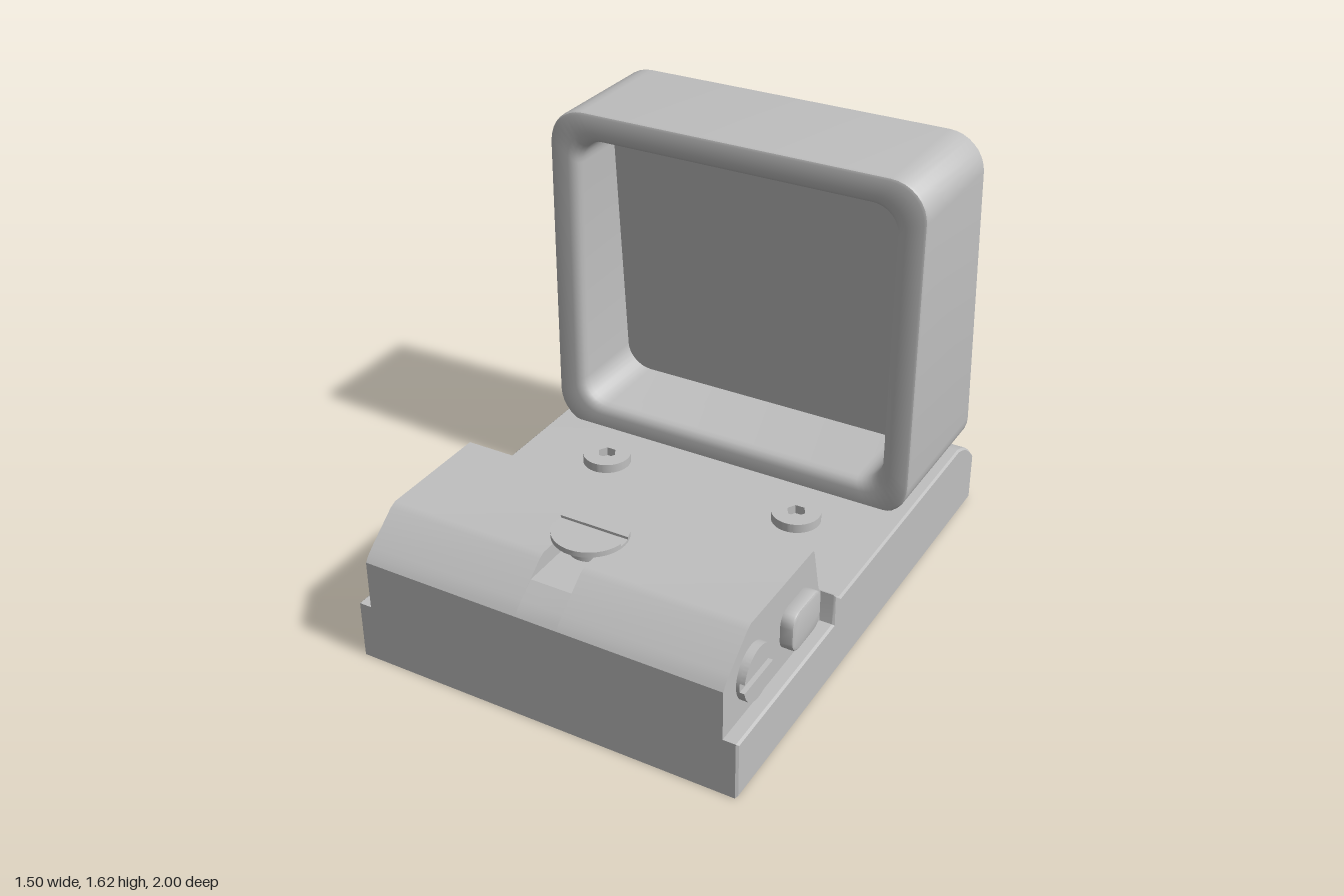
import * as THREE from 'three';
import { toCreasedNormals } from 'three/addons/utils/BufferGeometryUtils.js';

const grey = new THREE.MeshStandardMaterial({ color: 0xc0c0c0 });
grey.name = 'satin grey';

function add(parent, name, geometry, x = 0, y = 0, z = 0) {
  const mesh = new THREE.Mesh(toCreasedNormals(geometry, 0.6), grey);
  mesh.name = name;
  mesh.position.set(x, y, z);
  parent.add(mesh);
  return mesh;
}

// Side profile of [z, y] points, extruded across x from x0 to x1
function sideProfile(points, x0, x1, bevel = 0) {
  const shape = new THREE.Shape(points.map(([z, y]) => new THREE.Vector2(z, y)));
  const geo = new THREE.ExtrudeGeometry(shape, {
    depth: x1 - x0 - 2 * bevel, bevelEnabled: bevel > 0, bevelThickness: bevel,
    bevelSize: bevel, bevelOffset: -bevel, bevelSegments: 1,
  });
  return geo.rotateY(-Math.PI / 2).translate(x1 - bevel, 0, 0);
}

// Counter-clockwise rounded rectangle outline
function roundedRect(hw, bottom, top, r, segs = 8) {
  const pts = [];
  [[hw - r, bottom + r, -0.5], [hw - r, top - r, 0], [r - hw, top - r, 0.5], [r - hw, bottom + r, 1]]
    .forEach(([cx, cy, start]) => {
      for (let i = 0; i <= segs; i++) {
        const a = (start + 0.5 * i / segs) * Math.PI;
        pts.push(new THREE.Vector2(cx + r * Math.cos(a), cy + r * Math.sin(a)));
      }
    });
  return pts;
}

const hoodOutline = (inset) => roundedRect(0.75 - inset, 0.29 + inset, 1.625 - inset, 0.14 - 0.35 * inset);

// Window frame lofted through rings; the rear face leans forward towards the top
function hoodGeometry() {
  const backZ = (y) => -0.83 - (1.625 - y) * 0.07;
  const rings = [
    [0, 'back', 0.02], [0, 'front', 0.012], [0.004, 'front', 0.004], [0.012, 'front', 0],
    [0.075, 'front', 0], [0.095, 'front', 0.006], [0.109, 'front', 0.02], [0.115, 'front', 0.04],
    [0.115, 'back', 0.04], [0.109, 'back', 0.02], [0.095, 'back', 0.006], [0.075, 'back', 0],
    [0.02, 'back', 0], [0.006, 'back', 0.006],
  ];
  const positions = [], index = [];
  let n = 0;
  rings.forEach(([inset, end, dz]) => {
    const pts = hoodOutline(inset);
    n = pts.length;
    pts.forEach((p) => positions.push(p.x, p.y, end === 'front' ? -0.305 - dz : backZ(p.y) + dz));
  });
  for (let k = 0; k < rings.length; k++) {
    const k2 = (k + 1) % rings.length;
    for (let j = 0; j < n; j++) {
      const j2 = (j + 1) % n;
      const a = k * n + j, b = k * n + j2, c = k2 * n + j2, d = k2 * n + j;
      index.push(a, b, c, a, c, d);
    }
  }
  const geo = new THREE.BufferGeometry();
  geo.setAttribute('position', new THREE.Float32BufferAttribute(positions, 3));
  geo.setIndex(index);
  return geo;
}

// Screw head facing +z: a disc with two raised halves either side of a slot
function slottedScrew(name, r, height, slot) {
  const group = new THREE.Group();
  group.name = name;
  const disc = new THREE.CylinderGeometry(r, r, height * 0.5, 40);
  add(group, 'screwDisc', disc.rotateX(Math.PI / 2), 0, 0, height * 0.25);
  const a = Math.asin(slot / 2 / r);
  for (const turn of [0, Math.PI]) {
    const half = new THREE.Shape();
    half.absarc(0, 0, r, a, Math.PI - a, false);
    half.closePath();
    const geo = new THREE.ExtrudeGeometry(half, { depth: height * 0.5, bevelEnabled: false, curveSegments: 20 });
    add(group, 'screwHalf', geo.rotateZ(turn), 0, 0, height * 0.5);
  }
  return group;
}

export function createModel() {
  const model = new THREE.Group();
  model.name = 'reflexSight';

  // Base plate with lowered side ledges and a rounded rear edge
  add(model, 'base', sideProfile([
    [1, 0], [1, 0.225], [0.3, 0.225], [0.3, 0.35], [0.25, 0.313], [-0.83, 0.313], [-0.87, 0.3],
    [-0.91, 0.28], [-0.95, 0.25], [-1, 0.2], [-1, 0],
  ], -0.75, 0.75, 0.008));

  // Front housing, with a notch cut into the middle of its slope
  const front = [[1, 0.2], [1, 0.415], [0.985, 0.435], [0.96, 0.458]];
  const rear = [[0.375, 0.562], [0.365, 0.55], [0.32, 0.375], [0.3, 0.345], [0.25, 0.31], [0.25, 0.2]];
  const slope = [[0.845, 0.55], [0.82, 0.562]];
  const notch = [[0.9, 0.503], [0.65, 0.503], [0.65, 0.562]];
  add(model, 'housingRight', sideProfile([...front, ...slope, ...rear], -0.695, -0.08));
  add(model, 'housingLeft', sideProfile([...front, ...slope, ...rear], 0.08, 0.695));
  add(model, 'housingMiddle', sideProfile([...front, ...notch, ...rear], -0.08, 0.08));

  // Elevation screw on top of the housing
  const topScrew = slottedScrew('elevationScrew', 0.135, 0.02, 0.045);
  topScrew.rotation.x = -Math.PI / 2;
  topScrew.position.set(0, 0.562, 0.655);
  model.add(topScrew);
  add(model, 'elevationScrewStem', new THREE.CylinderGeometry(0.078, 0.078, 0.07, 32), 0, 0.533, 0.655);

  // Windage screw on the left side
  const sideScrew = slottedScrew('windageScrew', 0.1, 0.035, 0.035);
  sideScrew.rotation.y = Math.PI / 2;
  sideScrew.position.set(0.69, 0.375, 0.815);
  model.add(sideScrew);

  // Push buttons on both sides
  for (const side of [-1, 1]) {
    const shape = new THREE.Shape(roundedRect(0.105, -0.078, 0.078, 0.05, 6));
    const geo = new THREE.ExtrudeGeometry(shape, {
      depth: 0.045, bevelThickness: 0.008, bevelSize: 0.008, bevelOffset: -0.008, bevelSegments: 2,
    });
    add(model, side < 0 ? 'rightButton' : 'leftButton', geo.rotateY(side * Math.PI / 2), side * 0.69, 0.377, 0.505);
  }

  // Emitter bump on the rear slope of the housing
  const emitter = new THREE.SphereGeometry(1, 24, 16).scale(0.08, 0.05, 0.05);
  add(model, 'emitter', emitter, 0, 0.37, 0.325);

  // Hex socket bolts on the deck
  for (const side of [-1, 1]) {
    const head = new THREE.Shape().absarc(0, 0, 0.092, 0, Math.PI * 2, false);
    const socket = new THREE.Path();
    for (let i = 0; i < 6; i++) {
      const a = -i * Math.PI / 3;
      socket[i ? 'lineTo' : 'moveTo'](0.036 * Math.cos(a), 0.036 * Math.sin(a));
    }
    socket.closePath();
    head.holes.push(socket);
    const geo = new THREE.ExtrudeGeometry(head, { depth: 0.036, bevelEnabled: false, curveSegments: 40 });
    add(model, 'deckBolt', geo.rotateX(-Math.PI / 2), side * 0.405, 0.312, -0.098);
  }

  // Hood and its tilted lens
  add(model, 'hood', hoodGeometry());
  const lens = new THREE.ExtrudeGeometry(new THREE.Shape(hoodOutline(0.11)), { depth: 0.02, bevelEnabled: false });
  const p = lens.attributes.position;
  for (let i = 0; i < p.count; i++) p.setZ(i, p.getZ(i) - 0.58 - (1.51 - p.getY(i)) * 0.085);
  add(model, 'lens', lens);

  return model;
}
